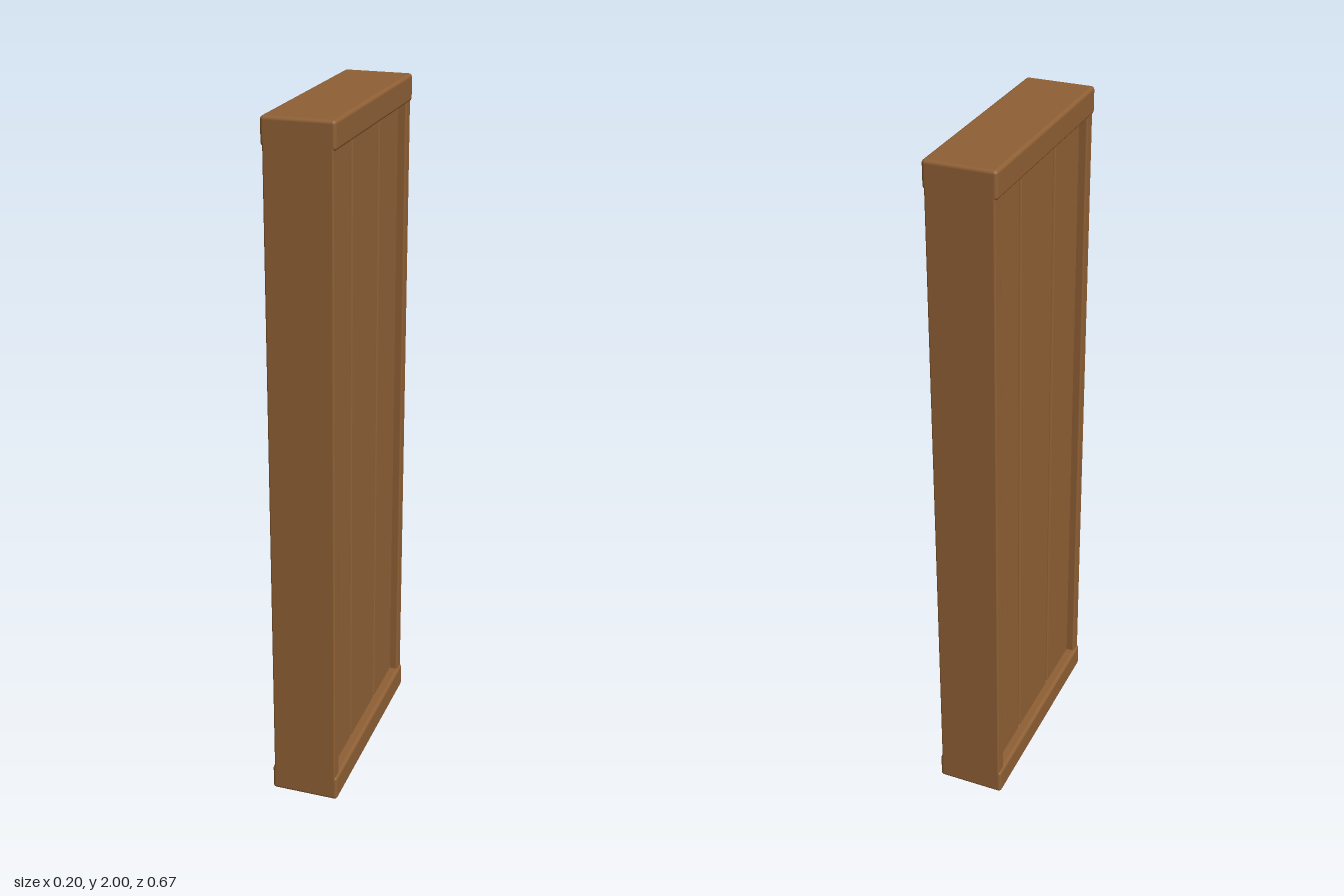
import * as THREE from 'three';
import { RoundedBoxGeometry } from 'three/addons/geometries/RoundedBoxGeometry.js';

export function createModel() {
  const group = new THREE.Group();
  group.name = 'plankPanel';
  const wood = new THREE.MeshStandardMaterial({ color: 0x8f6035 });
  wood.name = 'brown wood';

  // Softly rounded timber, given by its size and centre
  function timber(name, [w, h, d], y, z, radius) {
    const mesh = new THREE.Mesh(new RoundedBoxGeometry(w, h, d, 3, radius), wood);
    mesh.name = name;
    mesh.position.set(0, y, z);
    group.add(mesh);
  }

  // Top and bottom rails, slightly thicker than the uprights
  const railHeight = 0.077;
  timber('bottomRail', [0.2, railHeight, 0.666], railHeight / 2, 0, 0.01);
  timber('topRail', [0.2, railHeight, 0.666], 2 - railHeight / 2, 0, 0.01);

  // Uprights at the front and back ends
  for (const side of [1, -1]) {
    timber(side > 0 ? 'frontStile' : 'backStile', [0.188, 1.98, 0.038], 1, side * 0.314, 0.005);
  }

  // Recessed planks with narrow open gaps between them
  timber('middlePlank', [0.14, 1.88, 0.222], 1, 0, 0.006);
  for (const side of [1, -1]) {
    timber(side > 0 ? 'frontPlank' : 'backPlank', [0.14, 1.88, 0.182], 1, side * 0.212, 0.006);
  }

  return group;
}
